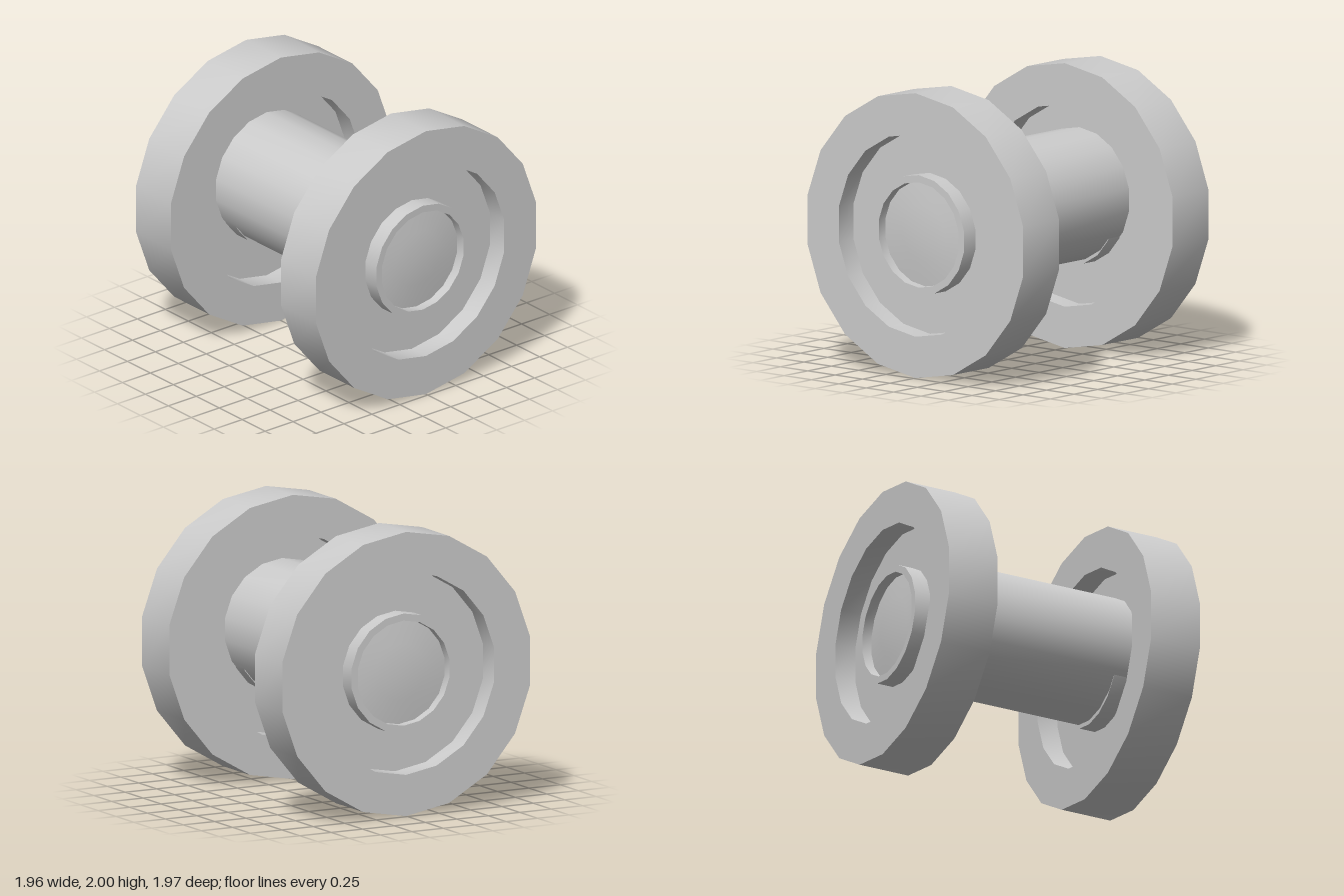
import * as THREE from 'three';
import { toCreasedNormals } from 'three/addons/utils/BufferGeometryUtils.js';

const SIDES = 18;
const material = new THREE.MeshStandardMaterial({ color: 0xcccccc });

// Revolve [radius, x] pairs around the x axis, with a corner at the very top
function turned(name, profile) {
  const points = profile.map(([r, x]) => new THREE.Vector2(r, x));
  const lathe = new THREE.LatheGeometry(points, SIDES, Math.PI / 2);
  lathe.rotateZ(-Math.PI / 2);
  const mesh = new THREE.Mesh(toCreasedNormals(lathe, Math.PI / 6), material);
  mesh.name = name;
  return mesh;
}

function makeWheel(name) {
  const wheel = new THREE.Group();
  wheel.name = name;

  // Heavy rim with a deep recess on both faces and a thin web between
  wheel.add(turned('rim', [
    [0, 0.755], [0.71, 0.755], [0.71, 0.6], [1, 0.6],
    [1, 0.98], [0.71, 0.98], [0.71, 0.825], [0, 0.825],
  ]));

  // Hub collar standing out of both recesses, with a bored outer end
  wheel.add(turned('hub', [
    [0, 0.635], [0.42, 0.635], [0.42, 0.945], [0.37, 0.945],
    [0.37, 0.875], [0.2, 0.895], [0, 0.905],
  ]));
  return wheel;
}

export function createModel() {
  const model = new THREE.Group();
  model.name = 'wheelset';

  // Matching wheels, mirrored by a half turn
  const left = makeWheel('leftWheel');
  const right = makeWheel('rightWheel');
  right.rotation.y = Math.PI;
  left.position.y = right.position.y = 1;

  // Axle sits slightly above the wheel centres
  const axle = turned('axle', [[0, -0.76], [0.46, -0.76], [0.46, 0.76], [0, 0.76]]);
  axle.position.y = 1.07;

  model.add(left, right, axle);
  return model;
}
